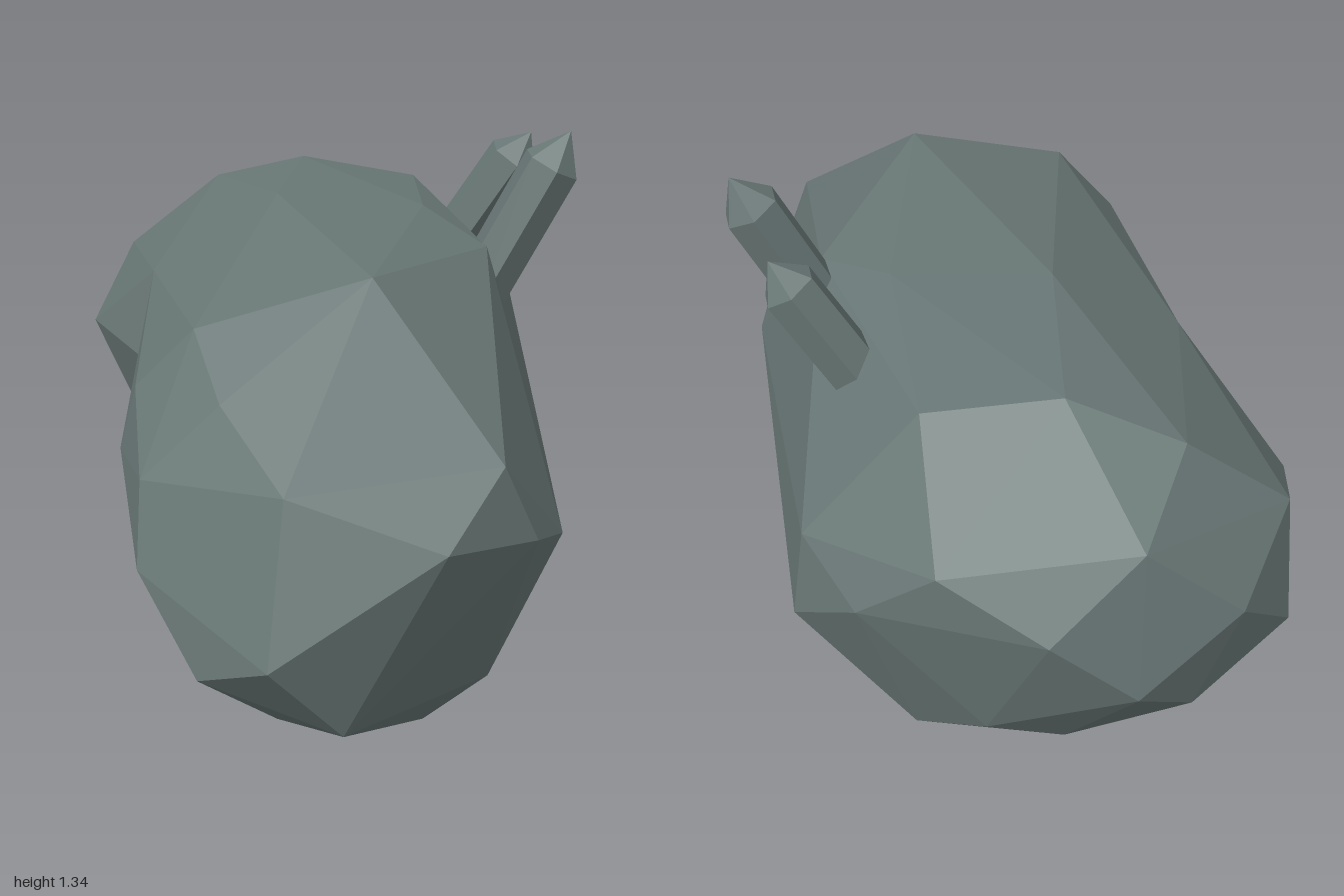
import * as THREE from 'three';
import { ConvexGeometry } from 'three/addons/geometries/ConvexGeometry.js';

const toVectors = (points) => points.map((p) => new THREE.Vector3(...p));

// Corners shared by both lobes: the straight flank, crown, keel and pinched waist
const flank = [
  [0.57, 0.575, -0.55], [0.49, 0.555, 0.57], [0.54, 0.8, -0.55],
  [0.325, 0.28, -0.66], [0.35, 0.15, 0.48],
];
const crown = [
  [0.07, 1.13, 0.5], [-0.01, 1.125, -0.63], [0.28, 1.085, -0.56],
  [0.25, 1.125, -0.1], [0.38, 1.07, 0.08], [-0.1, 1.135, -0.2],
];
const keel = [
  [0.08, 0, 0.27], [0.2, 0.04, 0.48], [0.03, 0.025, 0.5], [0.12, 0.145, -0.45],
];
const waist = [[-0.41, 0.945, -0.19], [-0.43, 0.775, 0], [-0.34, 0.36, -0.05]];

// Corners of the front end
const frontEnd = [
  [0.31, 0.83, 0.83], [0.18, 0.7, 0.965], [-0.18, 0.47, 1], [-0.02, 0.26, 0.9],
  [0.39, 0.65, 0.8], [-0.14, 0.8, 0.89], [-0.26, 0.92, 0.68], [-0.31, 1.025, 0.5],
  [-0.44, 0.88, 0.45], [-0.43, 0.75, 0.66], [-0.44, 0.575, 0.73],
  [-0.48, 0.72, 0.41], [-0.32, 0.39, 0.875], [-0.32, 0.31, 0.55], [-0.15, 0.2, 0.72],
];

// Corners of the back end
const backEnd = [
  [-0.24, 1.05, -0.74], [-0.48, 0.86, -0.75], [-0.58, 0.72, -0.49],
  [-0.1, 0.94, -0.93], [-0.32, 0.745, -0.94], [-0.48, 0.575, -0.82],
  [-0.08, 0.6, -1], [0.11, 0.775, -0.98], [0.31, 0.88, -0.84], [0.46, 0.72, -0.73],
  [0.01, 0.28, -0.78], [0.2, 0.4, -0.82], [-0.24, 0.45, -0.9],
  [-0.33, 0.32, -0.6], [-0.5, 0.53, -0.5], [-0.335, 0.305, -0.35],
];

// Six-sided pointed shard running from base to tip
function makeCrystal(name, base, tip, radius, pointHeight, material) {
  const [from, to] = toVectors([base, tip]);
  const axis = to.clone().sub(from);
  const length = axis.length();
  const profile = [
    [0, 0], [radius, 0], [radius, length - pointHeight], [0, length],
  ].map((p) => new THREE.Vector2(...p));
  const crystal = new THREE.Mesh(new THREE.LatheGeometry(profile, 6), material);
  crystal.name = name;
  crystal.position.copy(from);
  crystal.quaternion.setFromUnitVectors(new THREE.Vector3(0, 1, 0), axis.normalize());
  return crystal;
}

export function createModel() {
  const model = new THREE.Group();
  model.name = 'boulderWithCrystals';

  const stone = new THREE.MeshStandardMaterial({ color: 0x687775, flatShading: true });
  stone.name = 'grey green stone';

  // Boulder: two faceted lobes that meet at the waist
  const shared = [...flank, ...crown, ...keel, ...waist];
  const lobes = { frontLobe: frontEnd, backLobe: backEnd };
  const boulder = new THREE.Group();
  boulder.name = 'boulder';
  for (const [name, corners] of Object.entries(lobes)) {
    const lobe = new THREE.Mesh(new ConvexGeometry(toVectors([...shared, ...corners])), stone);
    lobe.name = name;
    boulder.add(lobe);
  }
  model.add(boulder);

  // Crystals leaning out of the upper flank
  model.add(
    makeCrystal('largeCrystal', [0.365, 0.93, 0.025], [0.575, 1.335, 0.045], 0.07, 0.09, stone),
    makeCrystal('smallCrystal', [0.335, 0.955, -0.275], [0.53, 1.275, -0.215], 0.066, 0.075, stone),
  );
  return model;
}
